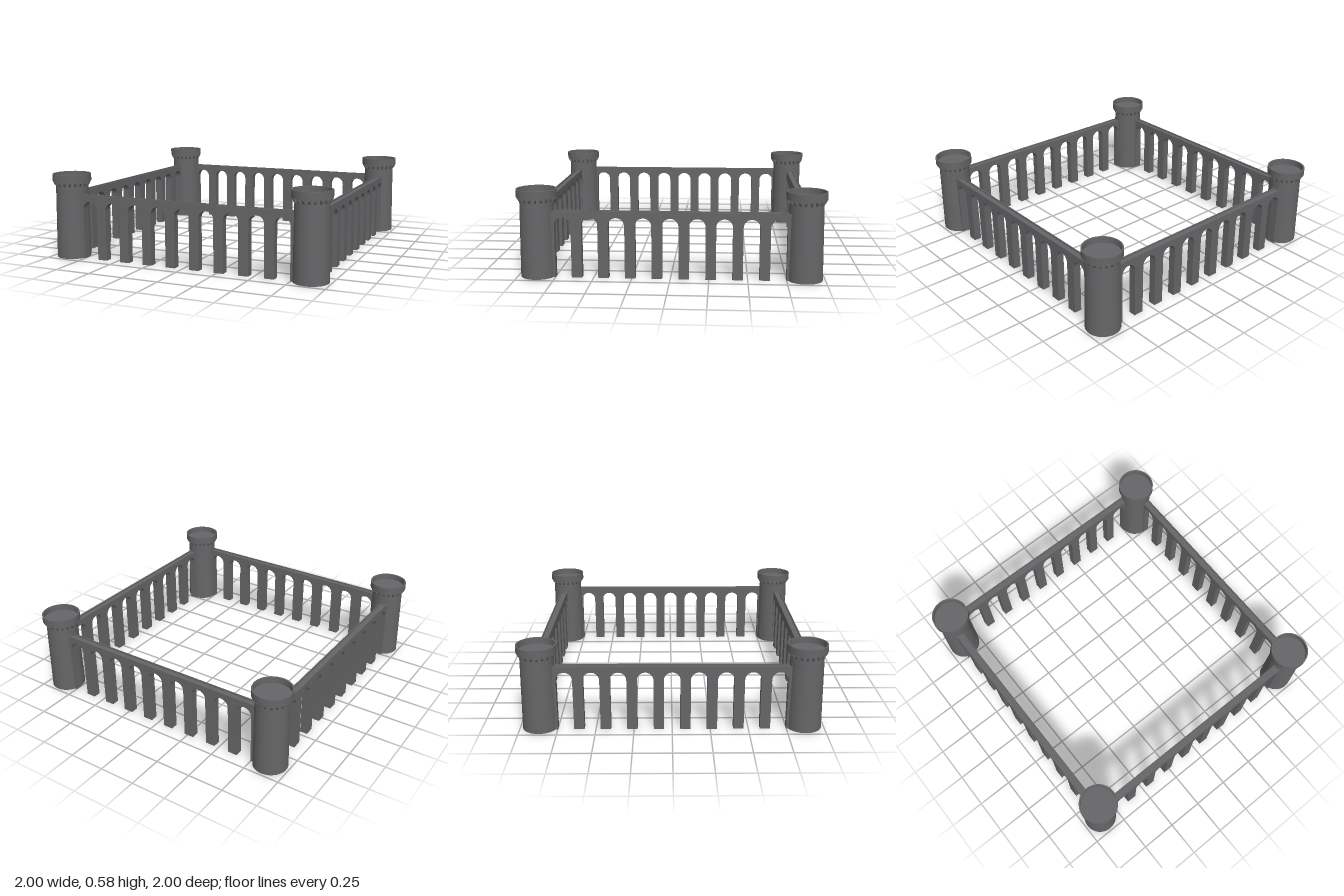
import * as THREE from 'three';
import { toCreasedNormals } from 'three/addons/utils/BufferGeometryUtils.js';

const TOWER = 0.869;      // tower centre offset on x and z
const WALL = 0.891;       // wall centre line offset
const HALF = 0.785;       // half length of a wall
const DEPTH = 0.052;      // wall thickness
const PITCH = 0.174, ARCH_R = 0.053, SPRING = 0.347, ARCHES = 9;

export function createModel() {
  const model = new THREE.Group();
  model.name = 'arcadedCourtyard';
  const stone = new THREE.MeshStandardMaterial({ color: 0x666668 });
  stone.name = 'dark grey stone';

  const add = (parent, name, geometry, x = 0, y = 0, z = 0) => {
    const mesh = new THREE.Mesh(geometry, stone);
    mesh.name = name;
    mesh.position.set(x, y, z);
    parent.add(mesh);
    return mesh;
  };

  // Arcade outline: flat top, round-headed openings cut up from the ground
  const outline = new THREE.Shape();
  outline.moveTo(-HALF, 0);
  for (let i = 0; i < ARCHES; i++) {
    const c = (i - (ARCHES - 1) / 2) * PITCH;
    outline.lineTo(c - ARCH_R, 0);
    outline.lineTo(c - ARCH_R, SPRING);
    outline.absarc(c, SPRING, ARCH_R, Math.PI, 0, true);
    outline.lineTo(c + ARCH_R, 0);
  }
  outline.lineTo(HALF, 0);
  outline.lineTo(HALF, 0.43);
  outline.lineTo(-HALF, 0.43);
  outline.closePath();
  const arcade = toCreasedNormals(
    new THREE.ExtrudeGeometry(outline, { depth: DEPTH, bevelEnabled: false, curveSegments: 12 }), 0.6);
  const lip = new THREE.BoxGeometry(HALF * 2, 0.012, 0.007);

  // Four walls, each with a shallow lip along both edges of the walkway
  for (let i = 0; i < 4; i++) {
    const wall = new THREE.Group();
    wall.name = 'wall' + (i + 1);
    add(wall, 'arcade', arcade, 0, 0, WALL - DEPTH / 2);
    for (const s of [-1, 1]) add(wall, 'walkwayLip', lip, 0, 0.435, WALL + s * (DEPTH / 2 - 0.0035));
    wall.rotation.y = i * Math.PI / 2;
    model.add(wall);
  }

  // Tower: hollow foot, tapered shaft and overhanging open parapet
  const profile = [
    [0, 0.04], [0.105, 0.04], [0.105, 0], [0.116, 0], [0.109, 0.53],
    [0.131, 0.53], [0.131, 0.58], [0.121, 0.58], [0.121, 0.538], [0, 0.538],
  ].map(([r, y]) => new THREE.Vector2(r, y));
  const shaft = toCreasedNormals(new THREE.LatheGeometry(profile, 36), 0.6);

  // Wedge-shaped bracket below the parapet
  const wedge = new THREE.Shape();
  wedge.moveTo(0.1, 0.5);
  wedge.lineTo(0.113, 0.5);
  wedge.lineTo(0.126, 0.52);
  wedge.lineTo(0.126, 0.532);
  wedge.lineTo(0.1, 0.532);
  wedge.closePath();
  const bracket = new THREE.ExtrudeGeometry(wedge, { depth: 0.012, bevelEnabled: false });
  bracket.translate(0, 0, -0.006);

  const BRACKETS = 20;
  for (const sx of [-1, 1]) for (const sz of [-1, 1]) {
    const tower = new THREE.Group();
    tower.name = 'tower' + (sz > 0 ? 'Front' : 'Back') + (sx > 0 ? 'Left' : 'Right');
    add(tower, 'shaft', shaft);
    for (let i = 0; i < BRACKETS; i++) {
      add(tower, 'bracket', bracket).rotation.y = (i / BRACKETS) * Math.PI * 2;
    }
    // Small door facing the courtyard centre
    add(tower, 'door', new THREE.BoxGeometry(0.04, 0.07, 0.008), 0, 0.067, 0.113);
    tower.position.set(sx * TOWER, 0, sz * TOWER);
    tower.rotation.y = Math.atan2(-sx, -sz);
    model.add(tower);
  }
  return model;
}
